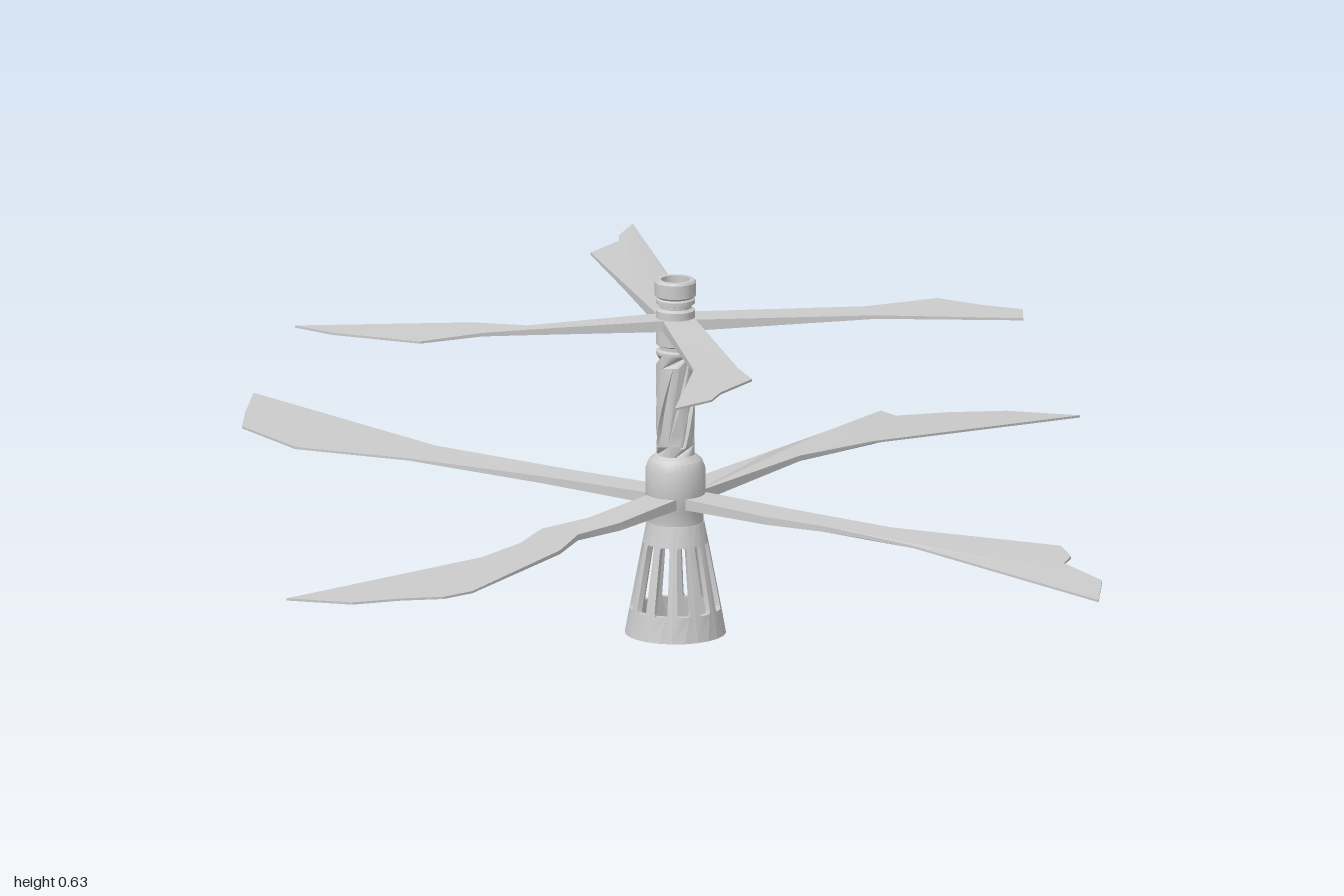
import * as THREE from 'three';
import { toCreasedNormals } from 'three/addons/utils/BufferGeometryUtils.js';

const grey = new THREE.MeshStandardMaterial({ color: 0xcccccc, side: THREE.DoubleSide });
const { lerp, clamp } = THREE.MathUtils;

function addMesh(parent, name, geometry) {
  const mesh = new THREE.Mesh(geometry, grey);
  mesh.name = name;
  parent.add(mesh);
  return mesh;
}

// Moves every vertex by a rule, then renews the normals.
function reshape(geometry, rule) {
  const p = geometry.attributes.position;
  const v = new THREE.Vector3();
  for (let i = 0; i < p.count; i++) {
    rule(v.fromBufferAttribute(p, i));
    p.setXYZ(i, v.x, v.y, v.z);
  }
  geometry.computeVertexNormals();
  return toCreasedNormals(geometry, 0.5);
}

// Closed outline, split into short steps so that it can be bent.
function outline(halfW, y0, y1, steps, cut = 0) {
  const corners = [
    [-halfW + cut * 4, y0], [halfW - cut * 4, y0], [halfW, y0 + cut], [halfW, y1 - cut],
    [halfW - cut * 4, y1], [-halfW + cut * 4, y1], [-halfW, y1 - cut], [-halfW, y0 + cut],
  ];
  const pts = [];
  corners.forEach((a, i) => {
    const b = corners[(i + 1) % 8];
    if (Math.hypot(a[0] - b[0], a[1] - b[1]) < 1e-6) return;
    for (let s = 0; s < steps; s++) {
      pts.push(new THREE.Vector2(lerp(a[0], b[0], s / steps), lerp(a[1], b[1], s / steps)));
    }
  });
  return pts;
}

// Round wall made of equal curved panels, each with one slot through it.
function slottedWall(parent, name, o) {
  const wall = new THREE.Group();
  wall.name = name;
  const half = Math.PI / o.count;
  for (let i = 0; i < o.count; i++) {
    const shape = new THREE.Shape(outline(half, o.y0, o.y1, o.steps));
    shape.holes.push(new THREE.Path(outline(o.slotHalf, o.slot0, o.slot1, o.steps, 0.006)));
    const geo = new THREE.ExtrudeGeometry(shape, { depth: 1, bevelEnabled: false });
    addMesh(wall, name + 'Panel', reshape(geo, (v) => {
      const t = (v.y - o.y0) / (o.y1 - o.y0);
      const r = lerp(o.r0, o.r1, t) - o.wall * (1 - v.z);
      const a = v.x + (2 * i + 1) * half + o.twist * t;
      v.set(r * Math.sin(a), v.y, r * Math.cos(a));
    }));
  }
  parent.add(wall);
}

function lathe(parent, name, profile) {
  const pts = profile.map(([r, y]) => new THREE.Vector2(r, y));
  addMesh(parent, name, toCreasedNormals(new THREE.LatheGeometry(pts, 24), 0.5));
}

// Flat blade from its plan outline (x, z), thick at the hub and thin at the tip.
function blade(parent, name, y, thinAt, pts, droop = 0) {
  const shape = new THREE.Shape(pts.map(([x, z]) => new THREE.Vector2(x, -z)));
  const geo = new THREE.ExtrudeGeometry(shape, { depth: 1, bevelEnabled: false });
  geo.rotateX(-Math.PI / 2);
  addMesh(parent, name, reshape(geo, (v) => {
    const d = Math.hypot(v.x, v.z - 0.02);
    const thickness = lerp(0.022, 0.004, clamp(d / thinAt, 0, 1));
    v.y = y + (v.y - 0.5) * thickness - droop * Math.max(0, d - 0.42);
  }));
}

export function createModel() {
  const model = new THREE.Group();
  const tower = new THREE.Group();
  tower.name = 'tower';
  tower.position.z = 0.022;
  model.add(tower);

  // Hollow flared base with upright slots
  slottedWall(tower, 'base', {
    count: 12, steps: 2, y0: 0, y1: 0.2, slot0: 0.045, slot1: 0.163,
    slotHalf: 0.15, r0: 0.088, r1: 0.05, wall: 0.01, twist: 0,
  });

  // Hub carrying the large blades
  lathe(tower, 'hub', [[0, 0.19], [0.049, 0.19], [0.049, 0.225], [0.052, 0.232],
    [0.052, 0.295], [0.046, 0.31], [0.034, 0.32], [0, 0.32]]);

  // Column with spiral slots around a core
  slottedWall(tower, 'column', {
    count: 4, steps: 8, y0: 0.315, y1: 0.5, slot0: 0.335, slot1: 0.48,
    slotHalf: 0.17, r0: 0.034, r1: 0.034, wall: 0.008, twist: 1.6,
  });
  lathe(tower, 'core', [[0.026, 0.31], [0.026, 0.51]]);

  // Stepped head with an open top
  lathe(tower, 'head', [[0.026, 0.5], [0.034, 0.5], [0.034, 0.505], [0.028, 0.508],
    [0.028, 0.514], [0.034, 0.517], [0.034, 0.578], [0.028, 0.582], [0.028, 0.588],
    [0.034, 0.59], [0.034, 0.597], [0.031, 0.6], [0.036, 0.604], [0.036, 0.628],
    [0.033, 0.632], [0.025, 0.632], [0.025, 0.6], [0, 0.6]]);

  // Four large lower blades; the rear one droops
  const lower = new THREE.Group();
  lower.name = 'lowerBlades';
  model.add(lower);
  blade(lower, 'rearBlade', 0.24, 0.5, [[-0.03, 0.02], [-0.03, -0.32], [-0.05, -0.51],
    [-0.09, -0.75], [-0.045, -0.73], [0, -0.82], [0.065, -0.91], [0.175, -0.975],
    [0.055, -0.51], [0.03, -0.32], [0.03, 0.02]], 0.08);
  blade(lower, 'leftBlade', 0.24, 0.5, [[0, -0.01], [0.22, -0.005], [0.43, -0.01],
    [0.74, -0.075], [0.795, -0.025], [0.81, 0.02], [0.93, 0.08], [1, 0.195],
    [0.53, 0.07], [0.43, 0.06], [0.33, 0.055], [0.22, 0.065], [0, 0.05]]);
  blade(lower, 'frontBlade', 0.24, 0.5, [[0.03, 0.02], [0.03, 0.24], [0.01, 0.34],
    [0.04, 0.44], [0.065, 0.75], [0.045, 0.81], [-0.01, 0.86], [-0.065, 0.93],
    [-0.175, 0.97], [-0.05, 0.55], [-0.045, 0.44], [-0.065, 0.34], [-0.035, 0.24],
    [-0.03, 0.02]]);
  blade(lower, 'rightBlade', 0.24, 0.5, [[0, 0.05], [-0.26, 0.05], [-0.53, 0.065],
    [-0.735, 0.11], [-0.89, 0.045], [-0.94, -0.04], [-1, -0.155], [-0.525, -0.03],
    [-0.245, -0.015], [0, -0.01]]);

  // Four small upper blades on the diagonals
  const upper = new THREE.Group();
  upper.name = 'upperBlades';
  model.add(upper);
  blade(upper, 'rearLeftBlade', 0.555, 0.4, [[-0.02, 0], [0.22, -0.24], [0.29, -0.36],
    [0.38, -0.365], [0.455, -0.38], [0.49, -0.33], [0.27, -0.2], [0.02, 0.04]]);
  blade(upper, 'rearRightBlade', 0.555, 0.4, [[-0.02, 0.04], [-0.21, -0.13], [-0.38, -0.28],
    [-0.385, -0.375], [-0.405, -0.405], [-0.43, -0.485], [-0.2, -0.245], [0.02, 0]]);
  blade(upper, 'frontRightBlade', 0.555, 0.4, [[-0.02, 0], [-0.19, 0.2], [-0.285, 0.23],
    [-0.53, 0.415], [-0.45, 0.42], [-0.29, 0.385], [-0.23, 0.28], [-0.18, 0.23], [0.02, 0.04]]);
  blade(upper, 'frontLeftBlade', 0.555, 0.4, [[0.02, 0], [0.27, 0.23], [0.33, 0.275],
    [0.335, 0.38], [0.35, 0.43], [0.33, 0.515], [0.215, 0.285], [-0.02, 0.04]]);

  return model;
}
